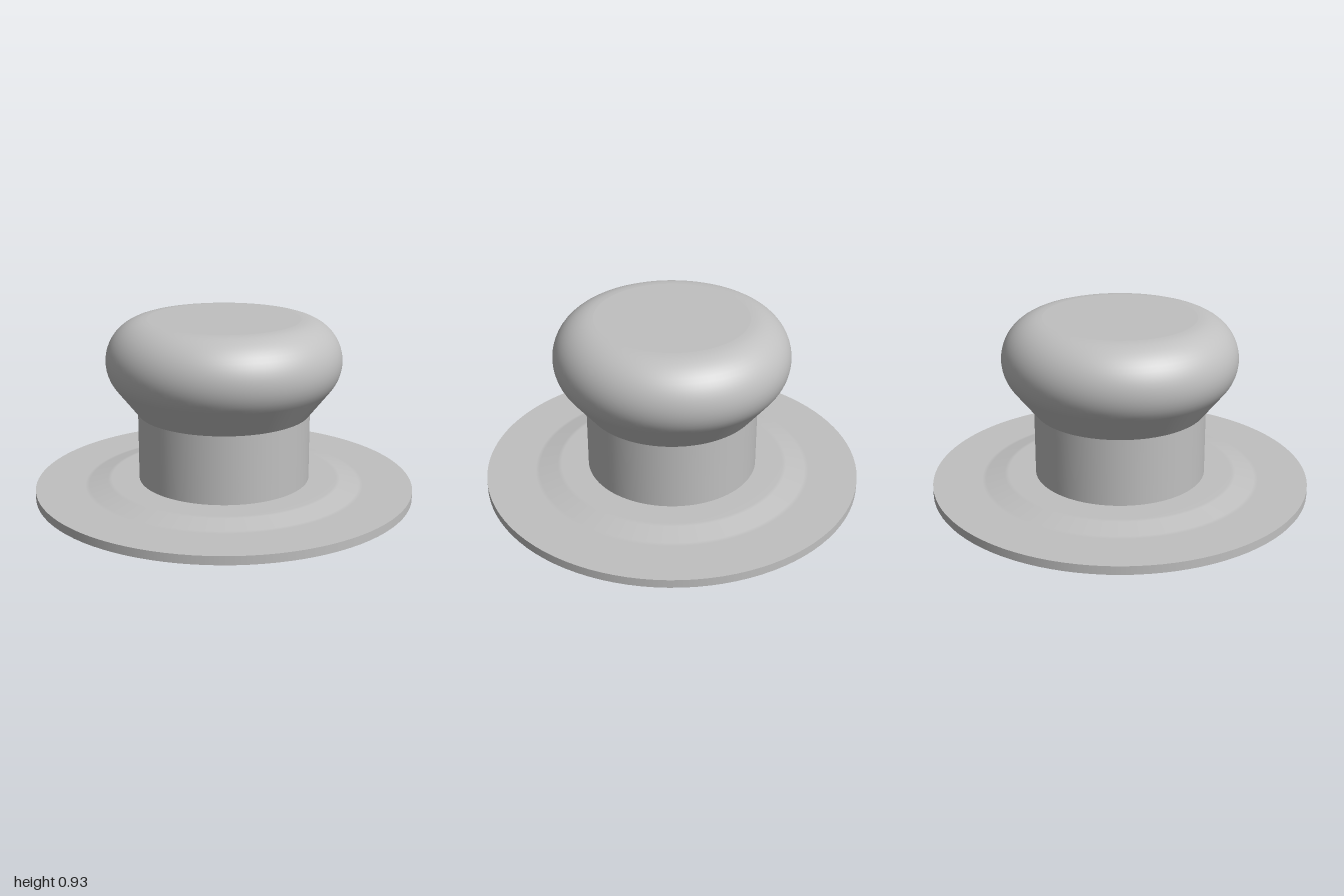
import * as THREE from 'three';

export function createModel() {
  const model = new THREE.Group();
  const grey = new THREE.MeshStandardMaterial({ color: 0xc0c0c0 });
  grey.name = 'plainGrey';

  // Each smooth face is its own lathe, so edges between faces stay sharp
  const turn = (name, points) => {
    const profile = points.map(([r, y]) => new THREE.Vector2(r, y));
    const mesh = new THREE.Mesh(new THREE.LatheGeometry(profile, 96), grey);
    mesh.name = name;
    model.add(mesh);
  };

  const hole = 0.29, ceiling = 0.42;

  // Base plate with a raised centre
  turn('plateUnderside', [[hole, 0], [1, 0]]);
  turn('plateRim', [[1, 0], [1, 0.045]]);
  turn('plateTop', [[1, 0.045], [0.74, 0.045], [0.72, 0.047], [0.62, 0.073], [0.6, 0.075], [0.45, 0.075]]);

  // Stem
  turn('stem', [[0.453, 0.075], [0.453, 0.435]]);

  // Knob: a flared underside running into a round shoulder and a flat top
  const knob = [[0.453, 0.435]];
  for (let i = 0; i <= 18; i++) {
    const a = THREE.MathUtils.degToRad(-40 + (130 * i) / 18);
    knob.push([0.4 + 0.215 * Math.cos(a), 0.715 + 0.215 * Math.sin(a)]);
  }
  turn('knob', knob);
  turn('knobTop', [[0.4, 0.93], [0, 0.93]]);

  // Hollow under the stem, braced by two crossed ribs
  turn('hollowCeiling', [[0, ceiling], [hole, ceiling]]);
  turn('hollowWall', [[hole, ceiling], [hole, 0]]);
  for (const angle of [0, Math.PI / 2]) {
    const rib = new THREE.Mesh(new THREE.BoxGeometry(hole * 2, ceiling - 0.04, 0.02), grey);
    rib.name = 'hollowRib';
    rib.position.y = (ceiling + 0.04) / 2;
    rib.rotation.y = angle;
    model.add(rib);
  }

  return model;
}
